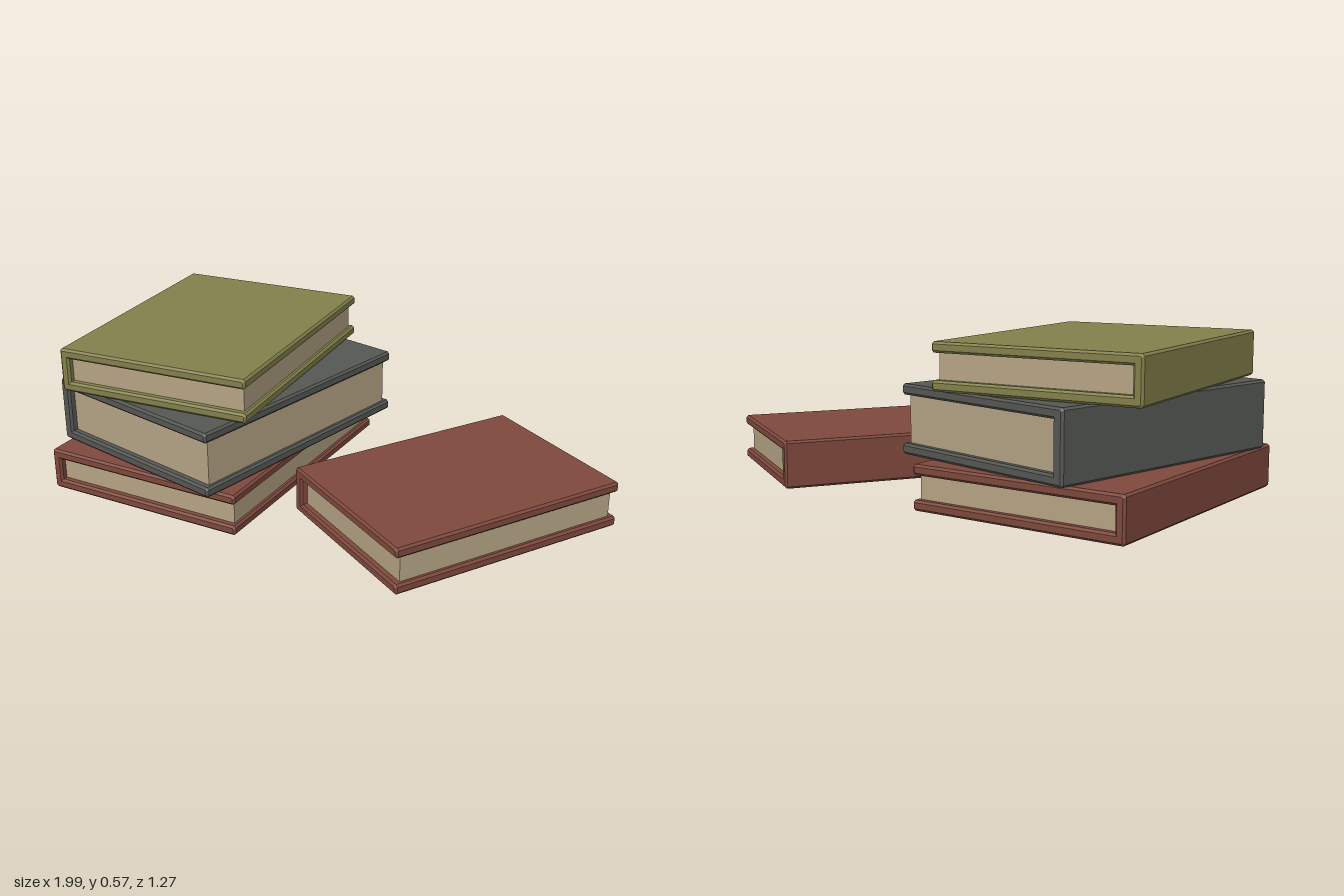
import * as THREE from 'three';

const BEVEL = 0.008;

// C-shaped profile (spine on -x, open on +x) with chamfered outer corners
function coverProfile(w, h, board, spine) {
  const c = BEVEL, x = w / 2;
  return new THREE.Shape([
    [-x + c, 0], [x - c, 0], [x, c], [x, board - c], [x - c, board],
    [-x + spine, board], [-x + spine, h - board],
    [x - c, h - board], [x, h - board + c], [x, h - c], [x - c, h],
    [-x + c, h], [-x, h - c], [-x, c],
  ].map(([px, py]) => new THREE.Vector2(px, py)));
}

function makeBook({ name, w, l, h, board, spine, x, y, z, turn }, coverMat, pageMat) {
  const book = new THREE.Group();
  book.name = name;

  // Hard cover with bevelled rims
  const coverGeo = new THREE.ExtrudeGeometry(coverProfile(w, h, board, spine), {
    depth: l - 2 * BEVEL, bevelEnabled: true, bevelSegments: 1,
    bevelThickness: BEVEL, bevelSize: BEVEL, bevelOffset: -BEVEL,
  });
  coverGeo.translate(0, 0, -l / 2 + BEVEL);
  const cover = new THREE.Mesh(coverGeo, coverMat);
  cover.name = 'cover';

  // Page block, set back from the three open edges
  const left = -w / 2 + spine - 0.004, right = w / 2 - 0.017;
  const pages = new THREE.Mesh(
    new THREE.BoxGeometry(right - left, h - 2 * board + 0.004, l - 0.052), pageMat);
  pages.name = 'pages';
  pages.position.set((left + right) / 2, h / 2, 0);

  book.add(cover, pages);
  book.position.set(x, y, z);
  book.rotation.y = turn;
  return book;
}

export function createModel() {
  const mat = (name, color) => {
    const m = new THREE.MeshStandardMaterial({ color });
    m.name = name;
    return m;
  };
  const red = mat('brick red', 0x7d483c);
  const grey = mat('slate grey', 0x555753);
  const olive = mat('olive green', 0x82804a);
  const paper = mat('paper', 0xb3a283);

  const model = new THREE.Group();
  model.name = 'books';
  // Stack of three, then the single book lying beside it
  model.add(
    makeBook({ name: 'bottomBook', w: 0.806, l: 1.062, h: 0.158, board: 0.037, spine: 0.036,
      x: -0.519, y: 0, z: 0.048, turn: 0.157 }, red, paper),
    makeBook({ name: 'middleBook', w: 0.773, l: 1.02, h: 0.245, board: 0.038, spine: 0.044,
      x: -0.457, y: 0.159, z: 0.046, turn: -0.055 }, grey, paper),
    makeBook({ name: 'topBook', w: 0.75, l: 0.977, h: 0.164, board: 0.037, spine: 0.036,
      x: -0.521, y: 0.405, z: 0.047, turn: 0.24 }, olive, paper),
    makeBook({ name: 'looseBook', w: 0.678, l: 0.936, h: 0.174, board: 0.038, spine: 0.044,
      x: 0.499, y: 0, z: -0.077, turn: -0.397 }, red, paper),
  );
  return model;
}
